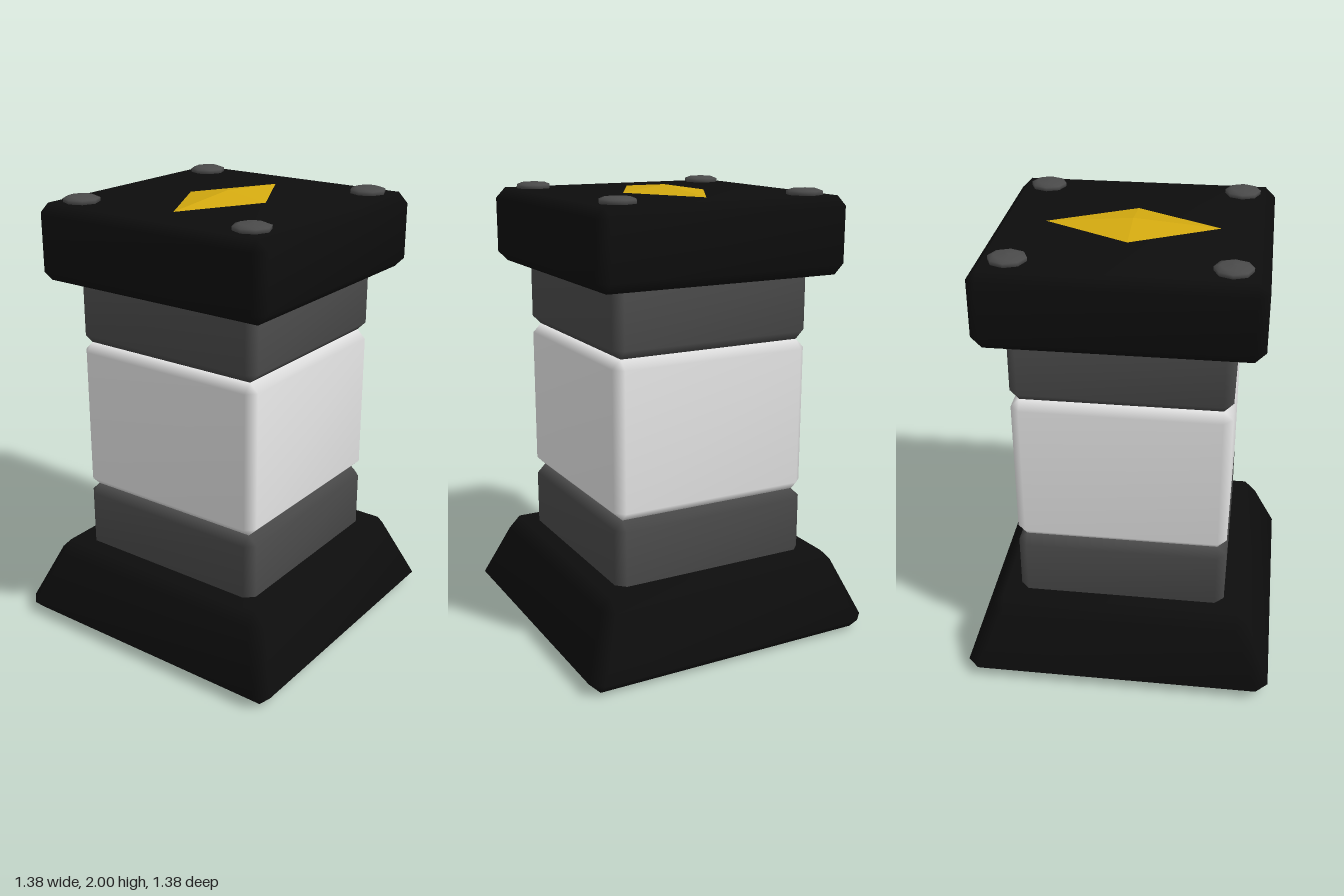
import * as THREE from 'three';
import { mergeVertices } from 'three/addons/utils/BufferGeometryUtils.js';

// Square block lofted from sections [y, halfWidth, cornerCut], with smooth shared normals
function loftBlock(sections) {
  const pos = [];
  const idx = [];
  for (const [y, h, c] of sections) {
    const k = h - c;
    const ring = [[h, k], [h, -k], [k, -h], [-k, -h], [-h, -k], [-h, k], [-k, h], [k, h]];
    for (const [x, z] of ring) pos.push(x, y, z);
  }
  for (let s = 0; s < sections.length - 1; s++) {
    for (let i = 0; i < 8; i++) {
      const a = s * 8 + i, b = s * 8 + (i + 1) % 8;
      idx.push(a, b, b + 8, a, b + 8, a + 8);
    }
  }
  const t = (sections.length - 1) * 8;
  for (let i = 1; i < 7; i++) {
    idx.push(0, i + 1, i);
    idx.push(t, t + i, t + i + 1);
  }
  const g = new THREE.BufferGeometry();
  g.setAttribute('position', new THREE.Float32BufferAttribute(pos, 3));
  g.setIndex(idx);
  const merged = mergeVertices(g, 1e-4);
  merged.computeVertexNormals();
  return merged;
}

// Block with bevelled edges; bottom and top half widths may differ for a taper
function bevelBlock(y0, y1, h0, h1, b) {
  return loftBlock([[y0, h0 - b, 0], [y0 + b, h0, b], [y1 - b, h1, b], [y1, h1 - b, 0]]);
}

export function createModel() {
  const group = new THREE.Group();
  const material = (name, color) => {
    const m = new THREE.MeshStandardMaterial({ color });
    m.name = name;
    return m;
  };
  const black = material('black', 0x0d0d0d);
  const grey = material('darkGrey', 0x4a4a4a);
  const white = material('white', 0xe6e6e6);
  const gold = material('gold', 0xd4aa10);

  const add = (name, geometry, mat) => {
    const mesh = new THREE.Mesh(geometry, mat);
    mesh.name = name;
    group.add(mesh);
    return mesh;
  };

  // Foot and cap
  add('base', bevelBlock(0, 0.36, 0.69, 0.585, 0.053), black);
  add('cap', bevelBlock(1.635, 1.97, 0.585, 0.585, 0.045), black);

  // Column: two dark collars around a pale middle
  add('lowerCollar', bevelBlock(0.3, 0.648, 0.468, 0.468, 0.04), grey);
  add('middleBlock', bevelBlock(0.648, 1.344, 0.468, 0.468, 0.04), white);
  add('upperCollar', bevelBlock(1.344, 1.7, 0.468, 0.468, 0.04), grey);

  // Low domed bolts in the cap corners
  const profile = [[0.07, 1.962], [0.079, 1.972], [0.079, 1.987], [0.055, 1.996], [0, 2]]
    .map(([r, y]) => new THREE.Vector2(r, y));
  const boltGeometry = new THREE.LatheGeometry(profile, 8);
  for (const x of [-0.44, 0.44]) {
    for (const z of [-0.44, 0.44]) add('bolt', boltGeometry, grey).position.set(x, 0, z);
  }

  // Raised diamond emblem, a shallow four-sided pyramid
  const diamond = new THREE.ConeGeometry(1, 0.03, 4, 1, true).toNonIndexed();
  diamond.scale(0.2, 1, 0.37);
  diamond.translate(0, 1.985, 0);
  diamond.computeVertexNormals();
  add('diamond', diamond, gold);

  return group;
}
